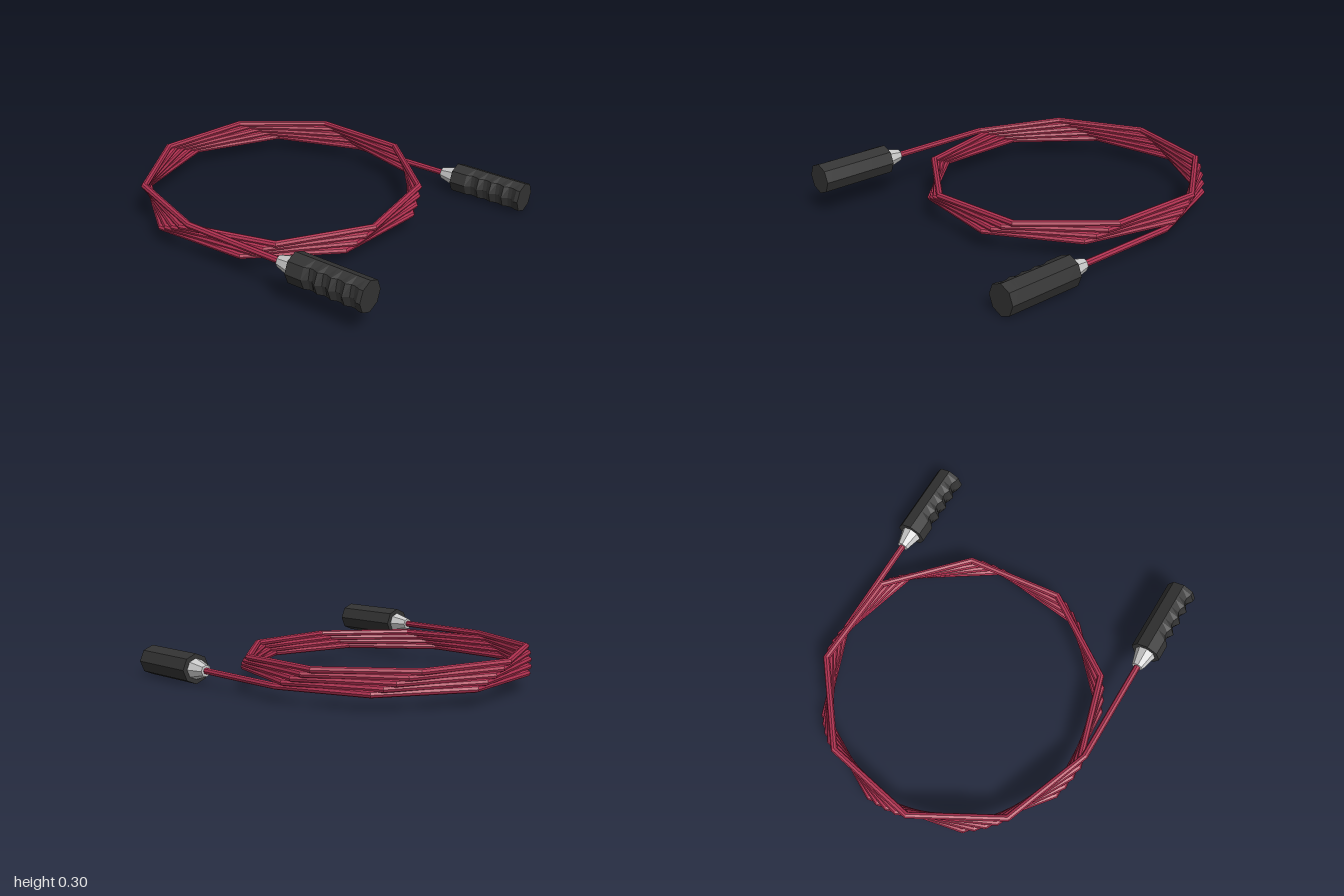
import * as THREE from 'three';
import { toCreasedNormals } from 'three/addons/utils/BufferGeometryUtils.js';

const SIDES = 8;
const HANDLE_X = 0.807, Y_HIGH = 0.215, Y_LOW = 0.089;

const material = (color) => new THREE.MeshStandardMaterial({ color, flatShading: true });
const red = material(0xb03050), dark = material(0x333333), grey = material(0xcccccc);

// Skin through rings of SIDES points each, with both ends capped
function loft(rings) {
  const index = [];
  const last = (rings.length - 1) * SIDES;
  for (let i = 0; i < rings.length - 1; i++) {
    for (let j = 0; j < SIDES; j++) {
      const k = (j + 1) % SIDES;
      const a = i * SIDES + j, b = i * SIDES + k;
      index.push(a, b, a + SIDES, b, b + SIDES, a + SIDES);
    }
  }
  for (let j = 1; j < SIDES - 1; j++) {
    index.push(0, j + 1, j, last, last + j, last + j + 1);
  }
  const geometry = new THREE.BufferGeometry();
  geometry.setAttribute('position', new THREE.Float32BufferAttribute(rings.flat(2), 3));
  geometry.setIndex(index);
  return toCreasedNormals(geometry, 0.1);
}

const ring = (pointAt) =>
  Array.from({ length: SIDES }, (_, j) => pointAt((j / SIDES) * Math.PI * 2, j));

function named(name, geometry, mat) {
  const mesh = new THREE.Mesh(geometry, mat);
  mesh.name = name;
  return mesh;
}

// Rope: four and a half turns in 40 straight steps, with a straight lead at each end
function ropeGeometry() {
  const steps = 40, turns = 4.5, R = HANDLE_X, centreZ = -0.18, r = 0.019;
  const stepAngle = (turns * Math.PI * 2) / steps;
  const miter = 1 / Math.cos(stepAngle / 2);
  const ropeRing = (angle, x, y, z, stretch) => ring((t) => {
    const out = Math.cos(t) * r * stretch;
    return [x + Math.cos(angle) * out, y + Math.sin(t) * r, z - Math.sin(angle) * out];
  });
  const rings = [ropeRing(Math.PI, -R, Y_HIGH, 0.5, 1)];
  for (let i = 0; i <= steps; i++) {
    const angle = Math.PI - i * stepAngle;
    const y = THREE.MathUtils.lerp(Y_HIGH, Y_LOW, i / steps);
    const stretch = i === 0 || i === steps ? 1 : miter;
    rings.push(ropeRing(angle, R * Math.cos(angle), y, centreZ - R * Math.sin(angle), stretch));
  }
  rings.push(ropeRing(0, R, Y_LOW, 0.5, 1));
  return loft(rings);
}

// Grip: octagonal bar with four finger notches along its -x side
function gripGeometry() {
  const r = 0.089;
  const stations = [[0.545, 0], [0.645, 0]];
  for (let n = 0; n < 4; n++) {
    const z = 0.645 + n * 0.083;
    stations.push([z + 0.03, 1], [z + 0.053, 1], [z + 0.083, 0]);
  }
  stations.push([1, 0]);
  return loft(stations.map(([z, notch]) => ring((t, j) => {
    const depth = j === 4 ? 0.024 : j === 3 || j === 5 ? 0.012 : 0;
    return [Math.cos(t) * r + notch * depth, Math.sin(t) * r, z];
  })));
}

// Collar: tapered ferrule between rope and grip
function collarGeometry() {
  return loft([[0.445, 0.034], [0.55, 0.063]].map(([z, r]) =>
    ring((t) => [Math.cos(t) * r, Math.sin(t) * r, z])));
}

export function createModel() {
  const model = new THREE.Group();
  model.name = 'skippingRope';
  model.add(named('rope', ropeGeometry(), red));

  const grip = gripGeometry(), collar = collarGeometry();
  for (const [name, x, y] of [['rightHandle', -HANDLE_X, Y_HIGH], ['leftHandle', HANDLE_X, Y_LOW]]) {
    const handle = new THREE.Group();
    handle.name = name;
    handle.position.set(x, y, 0);
    handle.add(named('grip', grip, dark), named('collar', collar, grey));
    model.add(handle);
  }
  return model;
}
